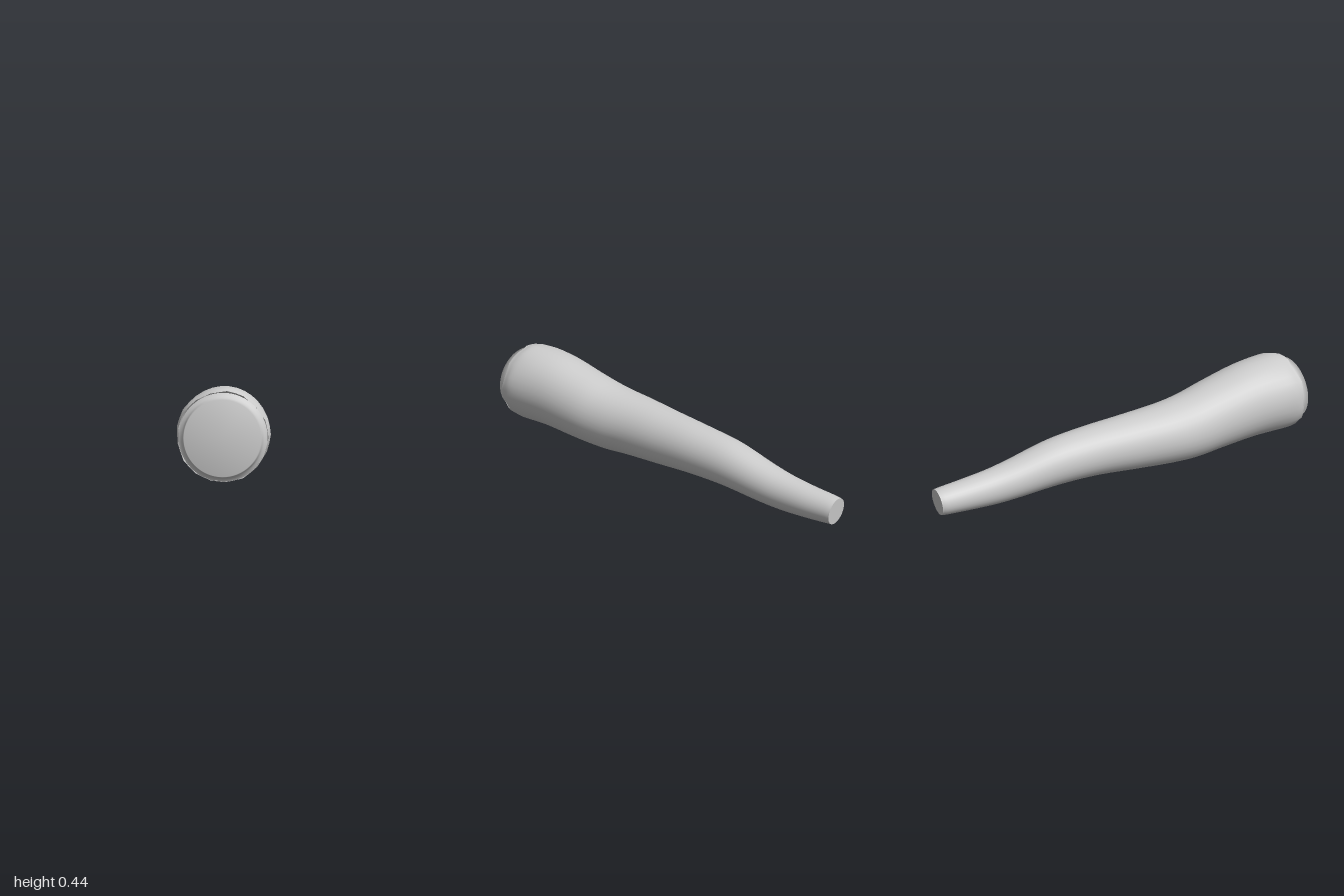
import * as THREE from 'three';

const SIDES = 34;
const TILT = 0.08; // both ends lean back slightly

// Cross-sections along the length: z, xMin, xMax, yMin, yMax
const SECTIONS = [
  [-0.995, -0.057, 0.07, 0.015, 0.14],
  [-0.96, -0.063, 0.074, 0.012, 0.145],
  [-0.85, -0.069, 0.083, 0.006, 0.156],
  [-0.72, -0.078, 0.091, 0.003, 0.174],
  [-0.6, -0.09, 0.1, 0.01, 0.2],
  [-0.4, -0.11, 0.112, 0.028, 0.252],
  [-0.2, -0.126, 0.121, 0.031, 0.278],
  [0, -0.15, 0.126, 0.02, 0.296],
  [0.2, -0.175, 0.133, 0.01, 0.316],
  [0.35, -0.18, 0.15, 0.005, 0.337],
  [0.5, -0.181, 0.17, 0.017, 0.373],
  [0.7, -0.192, 0.186, 0.036, 0.422],
  [0.87, -0.203, 0.2, 0.04, 0.44],
  [0.94, -0.193, 0.191, 0.047, 0.431],
];

// Smooth rings sampled between the sections, with a ragged front lip
function makeRings(steps) {
  const curve = (ix, iy) => new THREE.CatmullRomCurve3(
    SECTIONS.map((s) => new THREE.Vector3(s[ix], s[iy], s[0])), false, 'catmullrom', 0.5);
  const low = curve(1, 3), high = curve(2, 4);
  const rings = [];
  for (let i = 0; i <= steps; i++) {
    const a = low.getPoint(i / steps), b = high.getPoint(i / steps);
    const rag = THREE.MathUtils.smoothstep(a.z, 0.78, 0.92);
    const ragZ = THREE.MathUtils.smoothstep(a.z, 0.88, 0.94);
    const ring = [];
    for (let j = 0; j < SIDES; j++) {
      const t = (j / SIDES) * Math.PI * 2;
      const facet = j % 2 ? -0.014 : 0;
      const r = 1 + rag * (facet + 0.012 * Math.sin(5 * t + 1));
      const dy = Math.sin(t) * r * (b.y - a.y) / 2;
      ring.push(new THREE.Vector3(
        (a.x + b.x) / 2 + Math.cos(t) * r * (b.x - a.x) / 2,
        (a.y + b.y) / 2 + dy,
        a.z - TILT * dy + ragZ * 0.006 * Math.sin(7 * t + 2)));
    }
    rings.push(ring);
  }
  return rings;
}

function indexed(points, index) {
  const g = new THREE.BufferGeometry().setFromPoints(points);
  g.setIndex(index);
  g.computeVertexNormals();
  return g;
}

function loft(rings) {
  const index = [];
  for (let i = 0; i < rings.length - 1; i++) {
    for (let j = 0; j < SIDES; j++) {
      const k = (j + 1) % SIDES;
      const a = i * SIDES + j, b = i * SIDES + k;
      index.push(a, b, a + SIDES, b, b + SIDES, a + SIDES);
    }
  }
  return indexed(rings.flat(), index);
}

export function createModel() {
  const model = new THREE.Group();
  model.name = 'taperedBranch';
  const material = new THREE.MeshStandardMaterial({ color: 0xcccccc, side: THREE.DoubleSide });
  const add = (name, geometry) => {
    const mesh = new THREE.Mesh(geometry, material);
    mesh.name = name;
    model.add(mesh);
    return mesh;
  };

  // Long wavy outer skin
  const rings = makeRings(78);
  add('bark', loft(rings));

  // Flat cap on the narrow end
  const end = rings[0];
  const centre = end.reduce((s, p) => s.add(p), new THREE.Vector3()).divideScalar(SIDES);
  const fan = [];
  for (let j = 0; j < SIDES; j++) fan.push(SIDES, (j + 1) % SIDES, j);
  add('narrowEndCap', indexed([...end, centre], fan));

  // Core standing out of the thick end, softly shaded across its face
  const profile = [[0.189, -0.056], [0.176, -0.049], [0.168, -0.035], [0.162, 0], [0, 0]]
    .map(([r, h]) => new THREE.Vector2(r, h));
  const core = add('core', new THREE.LatheGeometry(profile, 64));
  core.rotation.x = Math.PI / 2 - TILT;
  core.position.set(0, 0.24, 0.987);

  return model;
}
